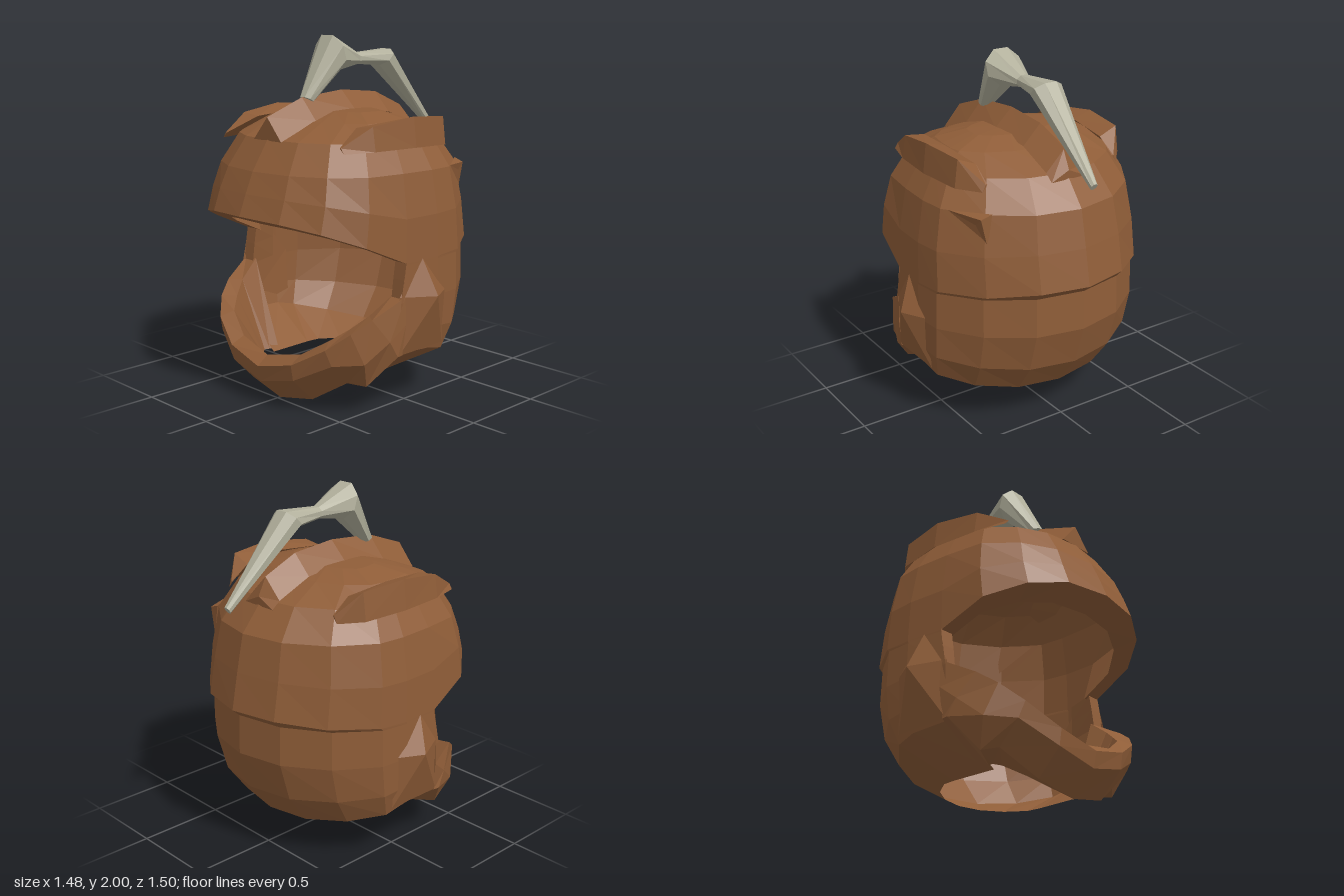
import * as THREE from 'three';

const mat = (name, color) => {
  const m = new THREE.MeshStandardMaterial({ color, flatShading: true, side: THREE.DoubleSide });
  m.name = name;
  return m;
};

// Joins a row of equal-length cross-sections; ring joins last to first,
// sheet leaves each section open, otherwise the ends are capped
function loft(sections, { ring = false, sheet = false } = {}) {
  const pos = [];
  const quad = (a, b, c, d) => pos.push(...a, ...b, ...c, ...a, ...c, ...d);
  const n = sections[0].length, m = sections.length;
  for (let s = 0; s < (ring ? m : m - 1); s++) {
    const p = sections[s], q = sections[(s + 1) % m];
    for (let i = 0; i < (sheet ? n - 1 : n); i++) {
      const j = (i + 1) % n;
      quad(p[i], q[i], q[j], p[j]);
    }
  }
  if (!ring && !sheet) {
    for (const [e, flip] of [[sections[0], false], [sections[m - 1], true]]) {
      for (let i = 0; i < n / 2 - 1; i++) {
        const c = [e[i], e[i + 1], e[n - 2 - i], e[n - 1 - i]];
        if (flip) c.reverse();
        quad(...c);
      }
    }
  }
  const g = new THREE.BufferGeometry();
  g.setAttribute('position', new THREE.Float32BufferAttribute(pos, 3));
  g.computeVertexNormals();
  return g;
}

const flipX = ([x, y, z]) => [-x, y, z];
const mirrorSections = (list) => list.map((s) => s.map(flipX));
// Continues sections that end on the centre line over to the other side
const across = (list) => [...list, ...mirrorSections(list.slice(0, -1)).reverse()];

// Half plan outline of the helmet, front to back: x, z and height of the brow seam
const plan = [
  [0, 0.75, 1.07], [0.27, 0.71, 1.06], [0.47, 0.6, 1.02], [0.62, 0.42, 0.945], [0.655, 0.16, 0.83],
  [0.67, -0.08, 0.835], [0.655, -0.26, 0.845], [0.5, -0.5, 0.86], [0.27, -0.67, 0.885], [0, -0.73, 0.885],
];
const place = ([px, pz], y, w, front, back) => [
  (px / 0.67) * w, y, pz > 0 ? (pz / 0.75) * front : (pz / 0.73) * back,
];

// Dome rows: height, half width, front depth, back depth
const domeRows = [
  [1.6, 0, 0, 0], [1.59, 0.26, 0.16, 0.15], [1.545, 0.42, 0.33, 0.3],
  [1.46, 0.53, 0.55, 0.51], [1.3, 0.62, 0.655, 0.645],
];
const domeSection = (c) => [
  ...domeRows.map((r) => place(c, ...r)),
  place(c, (c[2] + 1.3) / 2, 0.66, 0.705, 0.69),
  place(c, c[2], 0.667, 0.75, 0.73),
];

// Lower back rows: height at the side, height at the back, half width, front depth, back depth
const backRows = [
  [0.82, 0.845, 0.667, 0.75, 0.685], [0.62, 0.62, 0.672, 0.94, 0.69], [0.45, 0.39, 0.665, 0.94, 0.62],
  [0.33, 0.21, 0.63, 1.0, 0.48], [0.13, 0.13, 0.34, 1.12, 0.34],
];
const backSection = (c) => {
  const t = Math.max(0, -c[1] / 0.73);
  return [
    place(c, c[2], 0.667, 0.75, 0.73),
    ...backRows.map(([ys, yb, ...r]) => place(c, ys + (yb - ys) * t, ...r)),
  ];
};

// Thick lip under the brow: seam edge, inner edge, return to the wall
const lipSection = (c) => {
  const edge = place(c, c[2], 0.667, 0.75, 0.73), [x, y, z] = edge;
  return [edge, [x * 0.87, y - 0.08 * z, z * 0.8], place(c, (c[2] + 1.3) / 2, 0.655, 0.7, 0.69)];
};
// Upright lip at the cheek: y and z of the face edge
const cheekLip = [[0.835, 0.16], [0.74, 0.175], [0.62, 0.19]].map(([y, z]) => [
  [0.655, y, z], [0.575, y, z], [0.655, y, -0.04],
]);

// Jaw guard loops: upper outer, middle outer, lower outer, lower inner, upper inner
const jawHalf = [
  [[0.66, 0.65, 0.17], [0.665, 0.5, 0.17], [0.65, 0.33, 0.18], [0.36, 0.14, 0.18], [0.57, 0.65, 0.17]],
  [[0.6, 0.55, 0.36], [0.645, 0.42, 0.27], [0.655, 0.33, 0.22], [0.37, 0.14, 0.24], [0.53, 0.55, 0.31]],
  [[0.54, 0.48, 0.46], [0.585, 0.31, 0.4], [0.53, 0.16, 0.33], [0.38, 0.14, 0.27], [0.47, 0.48, 0.4]],
  [[0.44, 0.39, 0.55], [0.46, 0.3, 0.52], [0.455, 0.18, 0.39], [0.35, 0.13, 0.31], [0.4, 0.42, 0.48]],
  [[0.25, 0.28, 0.62], [0.25, 0.19, 0.605], [0.25, 0.05, 0.465], [0.22, 0.09, 0.37], [0.24, 0.32, 0.54]],
  [[0, 0.22, 0.64], [0, 0.13, 0.62], [0, 0.0, 0.48], [0, 0.05, 0.41], [0, 0.27, 0.57]],
];

// Centre ridge: z, peak height, base height
const ridge = [
  [0.55, 1.58, 1.455], [0.3, 1.67, 1.55], [0, 1.695, 1.59], [-0.27, 1.67, 1.56], [-0.48, 1.58, 1.47], [-0.53, 1.48, 1.43],
];

// Side crest: peak x, y, z, inner and outer base heights, inner reach
const crest = [
  [0.47, 1.45, 0.46, 1.45, 1.42, 0.01], [0.52, 1.55, 0.28, 1.535, 1.42, 0.12], [0.55, 1.585, 0, 1.55, 1.42, 0.12],
  [0.52, 1.565, -0.27, 1.52, 1.41, 0.11], [0.42, 1.44, -0.38, 1.44, 1.4, 0.01],
];

// Bone: centre z, y, half height vector z, y, half width
const bone = [
  [0.265, 1.655, 0.03, 0.016, 0.042], [0.08, 1.905, 0.03, 0.095, 0.11], [-0.11, 1.865, 0.0, 0.032, 0.042],
  [-0.315, 1.866, -0.045, 0.046, 0.088], [-0.74, 1.45, -0.012, 0.018, 0.02],
];

export function createModel() {
  const group = new THREE.Group();
  const leather = mat('brown leather', 0x8f5d38);
  const ivory = mat('pale bone', 0xb2b09c);
  const add = (name, geometry, material = leather) => {
    const mesh = new THREE.Mesh(geometry, material);
    mesh.name = name;
    group.add(mesh);
  };

  // Thin helmet shell with a stepped seam at the back
  const dome = plan.map(domeSection);
  add('dome', loft([...dome, ...mirrorSections(dome.slice(1, -1)).reverse()], { ring: true, sheet: true }));
  add('lowerBack', loft(across(plan.slice(4).map(backSection)), { sheet: true }));

  // Rim of the face opening
  add('browLip', loft(across(plan.slice(0, 5).reverse().map(lipSection)), { sheet: true }));
  add('leftCheekLip', loft(cheekLip, { sheet: true }));
  add('rightCheekLip', loft(mirrorSections(cheekLip), { sheet: true }));
  add('jawGuard', loft(across(jawHalf)));

  // Raised ridges over the crown
  add('centreRidge', loft(ridge.map(([z, peak, base]) => [[-0.11, base, z], [0, peak, z], [0.11, base, z]])));
  const crestLoops = crest.map(([x, y, z, yi, yo, w]) => [[x - w, yi, z], [x, y, z], [x + 0.02, yo, z]]);
  add('leftCrest', loft(crestLoops));
  add('rightCrest', loft(mirrorSections(crestLoops)));

  // Cheek spikes: a flat base drawn out to a point
  const spike = (base, tip) => loft([base, base.map(() => tip)]);
  const cheek = [[0.655, 0.85, 0.04], [0.66, 0.64, -0.15], [0.64, 0.33, -0.15], [0.645, 0.33, 0.2], [0.645, 0.65, 0.2]];
  const cheekTip = [0.74, 0.64, 0.0];
  add('leftCheekSpike', spike(cheek, cheekTip));
  add('rightCheekSpike', spike(cheek.map(flipX), flipX(cheekTip)));

  // Small torn flap behind the left crest
  add('leftFlap', spike(
    [[0.58, 1.3, -0.27], [0.44, 1.31, -0.47], [0.47, 1.13, -0.47], [0.51, 1.25, -0.42]], [0.505, 1.29, -0.465]));

  // Bone along the top
  add('bone', loft(bone.map(([z, y, vz, vy, w]) => Array.from({ length: 8 }, (_, i) => {
    const a = ((i + 0.5) / 8) * Math.PI * 2, k = 1.08;
    return [Math.sin(a) * w * k, y + Math.cos(a) * vy * k, z + Math.cos(a) * vz * k];
  }))), ivory);

  return group;
}
